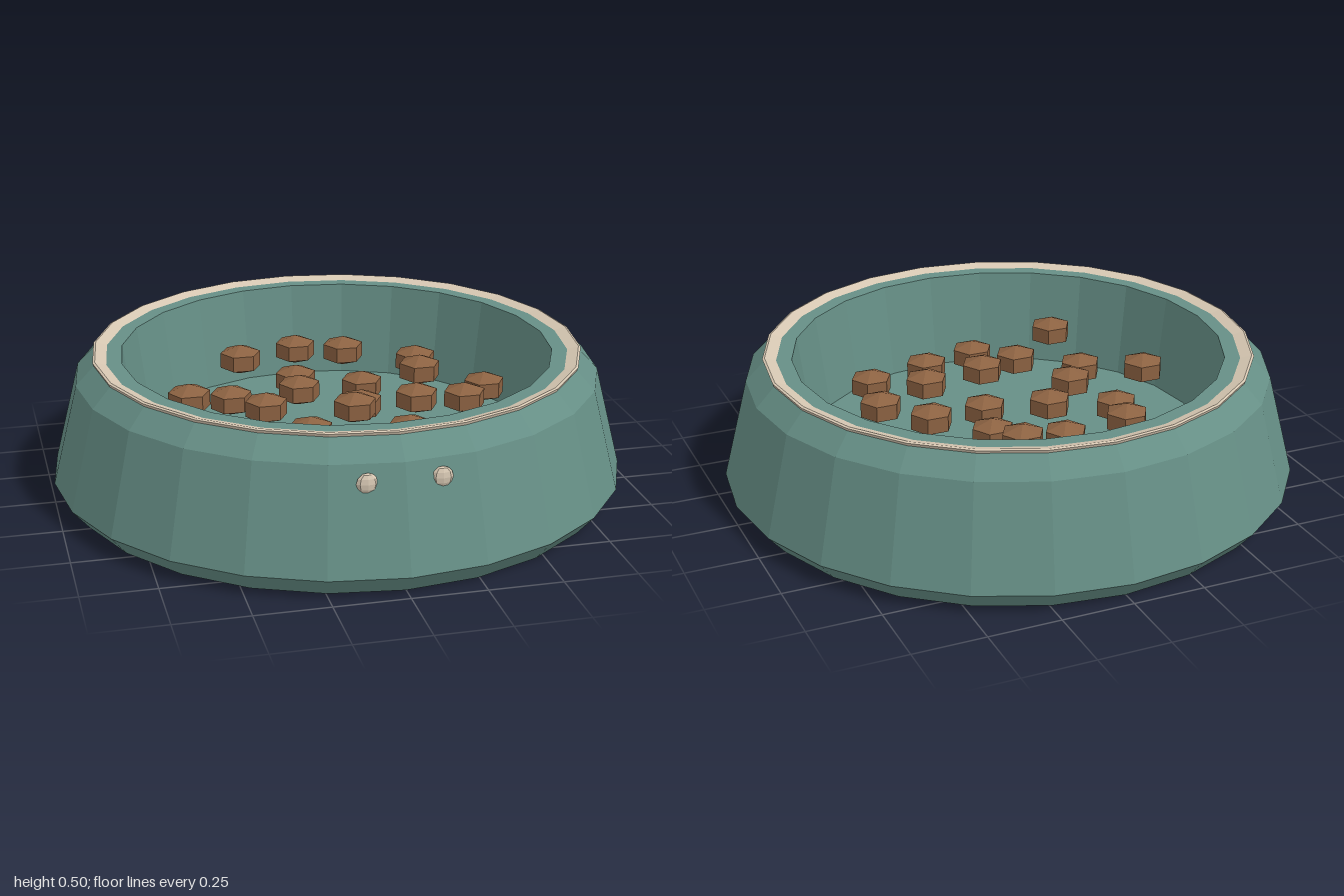
import * as THREE from 'three';

const mat = (color) => new THREE.MeshStandardMaterial({ color, flatShading: true });

// Faceted ring-shaped part turned from a profile of [radius, height] points
function turned(name, profile, material) {
  const points = profile.map(([r, y]) => new THREE.Vector2(r, y));
  const mesh = new THREE.Mesh(new THREE.LatheGeometry(points, 24), material);
  mesh.name = name;
  return mesh;
}

export function createModel() {
  const model = new THREE.Group();
  model.name = 'foodBowl';
  const teal = mat(0x668f86);
  const cream = mat(0xd6c7b2);
  const brown = mat(0x8c6242);

  // Bowl: base, sloped outer wall, lip, inner wall and floor
  model.add(turned('bowl', [
    [0, 0], [0.94, 0], [1, 0.07], [0.91, 0.42], [0.845, 0.488],
    [0.75, 0.488], [0.705, 0.15], [0, 0.15],
  ], teal));

  // Thin band on the lip, sloping slightly inward
  model.add(turned('rimBand', [
    [0.845, 0.484], [0.85, 0.497], [0.842, 0.5], [0.8, 0.487],
  ], cream));

  // Food pieces: squat six-sided nuggets at three alternating heights
  const food = new THREE.Group();
  food.name = 'foodPieces';
  const spots = [
    [-0.03, -0.55, 0], [-0.27, -0.39, 1], [0.12, -0.4, 1], [-0.08, -0.31, 2],
    [0.38, -0.33, 0], [-0.35, -0.15, 2], [0.14, -0.19, 2], [-0.11, -0.11, 0],
    [0.34, -0.13, 1], [0.57, -0.08, 2], [-0.52, -0.02, 1], [-0.26, 0.04, 0],
    [0.09, 0, 2], [0.44, 0.1, 0], [0.25, 0.15, 1], [0.02, 0.19, 1],
    [-0.38, 0.21, 2], [-0.16, 0.3, 0], [0.17, 0.36, 0], [0.38, 0.37, 2],
    [-0.36, 0.43, 1], [-0.06, 0.48, 2],
  ];
  const levels = [0.3, 0.333, 0.267];
  const nugget = new THREE.SphereGeometry(0.085, 6, 3).scale(1, 0.65, 1);
  spots.forEach(([x, z, level]) => {
    const piece = new THREE.Mesh(nugget, brown);
    piece.name = 'foodPiece';
    piece.position.set(x, levels[level], z);
    food.add(piece);
  });
  model.add(food);

  // Pair of small studs on the front wall
  const stud = new THREE.SphereGeometry(0.035, 8, 6).scale(1, 1, 0.45);
  for (const side of [-1, 1]) {
    const mesh = new THREE.Mesh(stud, cream);
    mesh.name = side > 0 ? 'leftStud' : 'rightStud';
    mesh.position.set(side * 0.12, 0.36, 0.908);
    model.add(mesh);
  }
  return model;
}
